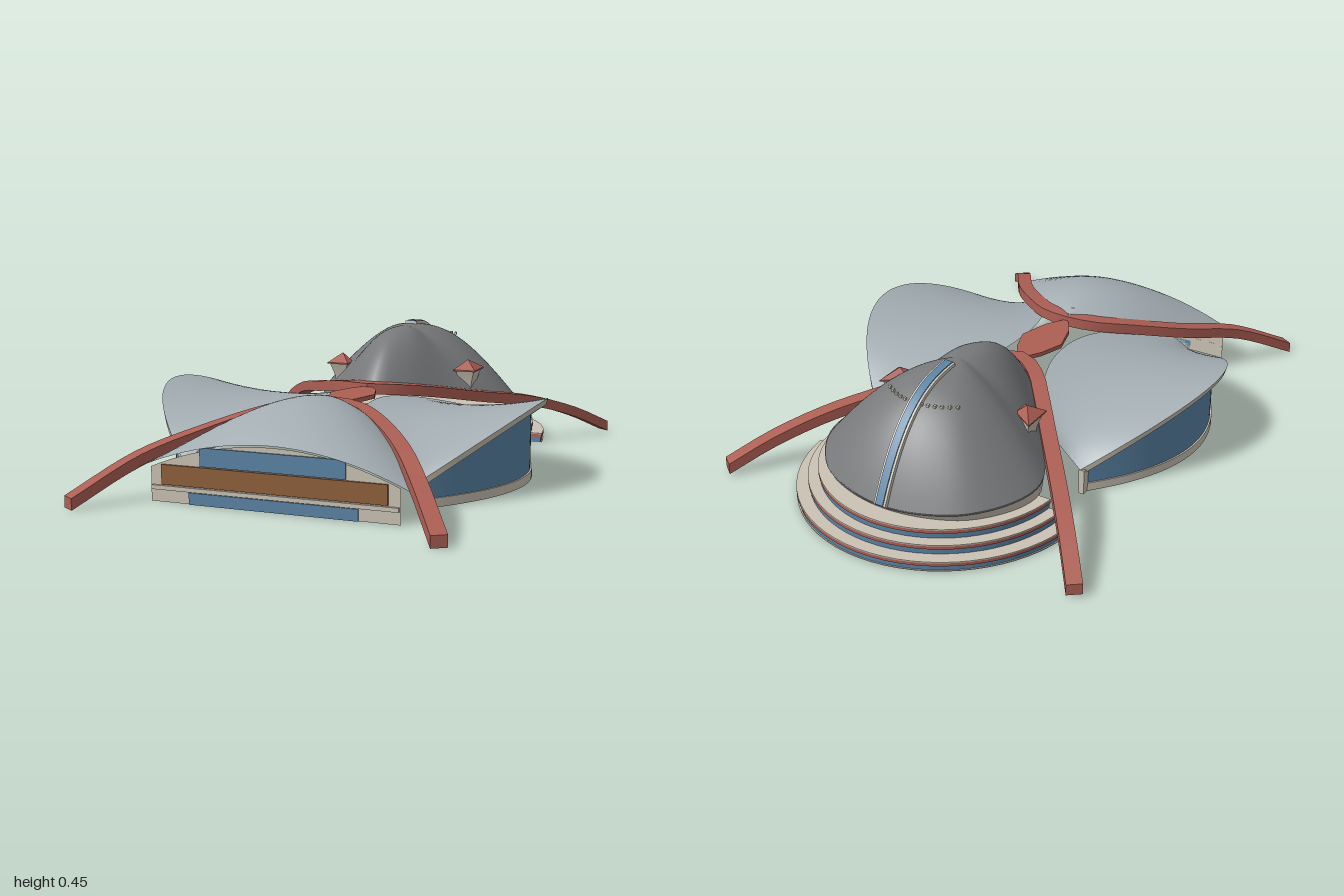
import * as THREE from 'three';
import { toCreasedNormals } from 'three/addons/utils/BufferGeometryUtils.js';

const V = (x, y, z) => new THREE.Vector3(x, y, z);
const paint = (name, color) => {
  const m = new THREE.MeshStandardMaterial({ color, side: THREE.DoubleSide });
  m.name = name;
  return m;
};

// Skin through rows of points; optionally close each row and cap the ends
function loft(rows, closed = false, crease = 0.6) {
  const n = rows[0].length, pos = [], idx = [];
  rows.forEach((r) => r.forEach((p) => pos.push(p.x, p.y, p.z)));
  for (let i = 0; i < rows.length - 1; i++) {
    for (let j = 0; j < (closed ? n : n - 1); j++) {
      const k = (j + 1) % n, a = i * n + j, b = i * n + k, c = a + n, d = b + n;
      idx.push(a, b, c, b, d, c);
    }
  }
  if (closed) {
    const e = (rows.length - 1) * n;
    for (let j = 1; j < n - 1; j++) idx.push(0, j + 1, j, e, e + j, e + j + 1);
  }
  const g = new THREE.BufferGeometry();
  g.setAttribute('position', new THREE.Float32BufferAttribute(pos, 3));
  g.setIndex(idx);
  g.computeVertexNormals();
  return toCreasedNormals(g, crease);
}

const steps = (n, f) => Array.from({ length: n + 1 }, (_, i) => f(i / n));

export function createModel() {
  const model = new THREE.Group();
  const red = paint('red', 0xad5f54), cream = paint('cream', 0xcac2b4);
  const glass = paint('glass blue', 0x5a83a4), light = paint('light grey', 0xa3adb2);
  const dark = paint('dark grey', 0x77797b), wood = paint('wood brown', 0x8f5f3a);
  const add = (name, geo, mat, parent = model) => {
    const m = new THREE.Mesh(geo, mat);
    m.name = name;
    parent.add(m);
    return m;
  };
  const box = (name, mat, w, h, d, x, y, z, parent) =>
    add(name, new THREE.BoxGeometry(w, h, d), mat, parent).position.set(x, y, z);

  // Rectangular beam swept along a mirrored half path
  function arch(name, half) {
    const pts = [...half.slice(1).reverse().map((p) => V(-p.x, p.y, p.z)), ...half];
    const curve = new THREE.CatmullRomCurve3(pts, false, 'centripetal');
    const rows = steps(36, (t) => {
      const p = curve.getPointAt(t), d = curve.getTangentAt(t);
      const side = V(d.z, 0, -d.x).normalize().multiplyScalar(0.026);
      const up = V(0, 0.019, 0);
      return [[1, 1], [-1, 1], [-1, -1], [1, -1]].map(([s, u]) =>
        p.clone().addScaledVector(side, s).addScaledVector(up, u));
    });
    add(name, loft(rows, true), red);
  }
  arch('frontArch', [V(0, 0.262, 0.32), V(0.1, 0.255, 0.345), V(0.2, 0.235, 0.425),
    V(0.34, 0.188, 0.58), V(0.47, 0.13, 0.78), V(0.605, 0.02, 0.98)]);
  arch('rearArch', [V(0, 0.258, -0.04), V(0.1, 0.25, -0.1), V(0.2, 0.227, -0.22), V(0.3, 0.198, -0.35),
    V(0.45, 0.158, -0.545), V(0.57, 0.1, -0.7), V(0.67, 0.028, -0.83)]);

  // Lens shaped plate between the arches
  const lens = new THREE.Shape([[0, 0.05], [0.05, -0.03], [0.08, -0.12], [0.05, -0.23], [0, -0.31],
    [-0.05, -0.23], [-0.08, -0.12], [-0.05, -0.03]].map(([x, y]) => new THREE.Vector2(x, y)));
  const lensGeo = new THREE.ExtrudeGeometry(lens, { depth: 0.015, bevelEnabled: false });
  add('centrePlate', lensGeo.rotateX(-Math.PI / 2).translate(0, 0.25, 0), red);

  // Side pavilions: saddle roof, fascia, curved glazing and plinth
  const outerY = (t) => 0.285 - 0.195 * t * t;
  const wallAt = (t, y, out = 0) => V(0.41 + (0.21 + out) * (1 - t * t), y, 0.13 + (0.445 + out) * t);
  for (const side of [1, -1]) {
    const g = new THREE.Group();
    g.name = side > 0 ? 'leftPavilion' : 'rightPavilion';
    model.add(g);
    const flip = (p) => { p.x *= side; return p; };
    const strip = (f) => steps(40, (u) => f(u * 2 - 1).map(flip));
    add('roof', loft(strip((t) => steps(14, (s) => {
      const xi = 0.085 + 0.215 * Math.abs(t) ** 2.2, xo = 0.41 + 0.27 * (1 - t * t);
      const yi = 0.25 - 0.085 * t * t;
      const y = yi + (outerY(t) - yi) * s - 0.12 * s * (1 - s) * (1 - t * t);
      return V(xi + (xo - xi) * s, y, 0.13 + (0.44 + 0.02 * s) * t);
    }))), light, g);
    add('fascia', loft(strip((t) => [0, -0.022].map((d) =>
      V(0.41 + (0.27 + d * 0.3) * (1 - t * t), outerY(t) + d, 0.13 + 0.46 * t)))), cream, g);
    add('glazing', loft(strip((t) => [wallAt(t, 0.03), wallAt(t, outerY(t) - 0.018)])), glass, g);
    add('plinth', loft(strip((t) => [wallAt(t, 0, 0.006), wallAt(t, 0.03, 0.006), wallAt(t, 0.03)])), cream, g);
    for (const z of [-0.315, 0.575]) box('cornerPost', cream, 0.02, 0.09, 0.03, side * 0.415, 0.045, z, g);
  }

  // Front canopy
  const canopyEdge = new THREE.CatmullRomCurve3([V(0, 0.27, 0.31), V(0.2, 0.23, 0.42),
    V(0.33, 0.18, 0.58), V(0.455, 0.11, 0.805)]);
  add('frontCanopy', loft(steps(20, (t) => {
    const e = canopyEdge.getPoint(t), top = 0.31 - 0.93 * (e.z - 0.48) ** 2;
    return steps(28, (s) => {
      const u = s * 2 - 1;
      return V(e.x * u, e.y + (top - e.y) * (1 - u * u), e.z);
    });
  })), light);
  const cap = add('canopyCap', new THREE.SphereGeometry(0.016, 12, 8), dark);
  cap.position.set(0, 0.287, 0.353);
  cap.scale.y = 0.5;

  // Front wall with its window, sign board and doors
  add('frontWall', loft(steps(24, (s) => {
    const u = s * 2 - 1;
    return [V(u * 0.42, 0, 0.785), V(u * 0.42, 0.112 + 0.09 * (1 - u * u), 0.785)];
  })), cream);
  box('upperWindow', glass, 0.49, 0.06, 0.006, 0, 0.155, 0.788);
  box('signBoard', wood, 0.76, 0.064, 0.008, 0, 0.09, 0.789);
  box('sill', cream, 0.83, 0.014, 0.009, 0, 0.047, 0.789);
  box('doors', glass, 0.57, 0.038, 0.006, 0, 0.019, 0.788);

  // Dome: teardrop rim raised to an off-centre peak
  const rimHalf = [[0, 0.26, -0.065], [0.1, 0.25, -0.13], [0.22, 0.215, -0.28], [0.33, 0.175, -0.42],
    [0.39, 0.15, -0.55], [0.37, 0.14, -0.66], [0.27, 0.13, -0.79], [0.14, 0.12, -0.85], [0, 0.115, -0.87]];
  const mirrored = rimHalf.slice(1, -1).reverse().map(([x, y, z]) => [-x, y, z]);
  const rim = new THREE.CatmullRomCurve3([...rimHalf, ...mirrored].map((p) => V(...p)), true).getPoints(72);
  const peakY = 0.437, peakZ = -0.42;
  add('dome', loft(steps(20, (u) => rim.map((p) => {
    const dz = p.z - peakZ, power = 1.5 + 1.5 * dz * dz / (p.x * p.x + dz * dz);
    return V(p.x * u, p.y + (peakY - p.y) * (1 - u ** power), peakZ + dz * u);
  })), false, 1), dark);
  const rear = rim.filter((p) => p.z < -0.5);
  add('domeWall', loft(rear.map((p) => [V(p.x, p.y + 0.005, p.z), V(p.x * 0.97, 0.1, p.z * 0.985)])), cream);

  // Skylight running down the back of the dome
  const ribbon = (w, lo, hi) => loft(steps(24, (t) => {
    const z = -0.47 - 0.4 * t, u = (peakZ - z) / 0.45, y = 0.115 + 0.322 * (1 - u ** 3);
    return [[-w, hi], [w, hi], [w, lo], [-w, lo]].map(([x, h]) => V(x, y + h, z - h * u));
  }), true);
  add('skylightFrame', ribbon(0.022, -0.008, 0.01), cream);
  add('skylightGlass', ribbon(0.014, 0.004, 0.013), glass);

  // Row of small lamps over the dome
  for (let i = -6; i <= 6; i++) {
    const s = i / 6;
    box('lamp', cream, 0.009, 0.009, 0.009, s * 0.13, 0.388, -0.665 + 0.045 * s * s);
  }

  // Rear terraces: stepped half rounds of glass, red band and cream deck
  [0.5, 0.46, 0.425].forEach((r, i) => {
    const layer = (name, mat, radius, y, h) => {
      const a = Math.asin(0.045 / radius);
      const shape = new THREE.Shape().absarc(0, 0.5, radius, a, Math.PI - a, false);
      const geo = new THREE.ExtrudeGeometry(shape, { depth: h, bevelEnabled: false, curveSegments: 16 });
      add(name, geo.rotateX(-Math.PI / 2).translate(0, y, 0), mat);
    };
    const y = i * 0.034;
    if (i === 0) layer('terraceFloor', cream, r, 0, 0.003);
    layer('terraceGlass', glass, r - 0.004, y + (i ? 0 : 0.003), i ? 0.019 : 0.016);
    layer('terraceBand', red, r, y + 0.019, 0.011);
    layer('terraceDeck', cream, r, y + 0.03, 0.004);
  });

  // Vent turrets beside the dome
  for (const side of [1, -1]) {
    const plan = [[0.292, -0.462], [0.21, -0.405], [0.21, -0.348], [0.292, -0.348]];
    const ring = (k, y) => plan.map(([x, z]) => V(side * (0.25 + (x - 0.25) * k), y, -0.4 + (z + 0.4) * k));
    add('turretBase', loft([ring(0.45, 0.2), ring(0.5, 0.235), ring(0.85, 0.285)], true, 0.3), cream);
    add('turretRoof', loft([ring(1, 0.284), ring(1, 0.289), ring(0.02, 0.322)], true, 0.3), red);
  }
  return model;
}
